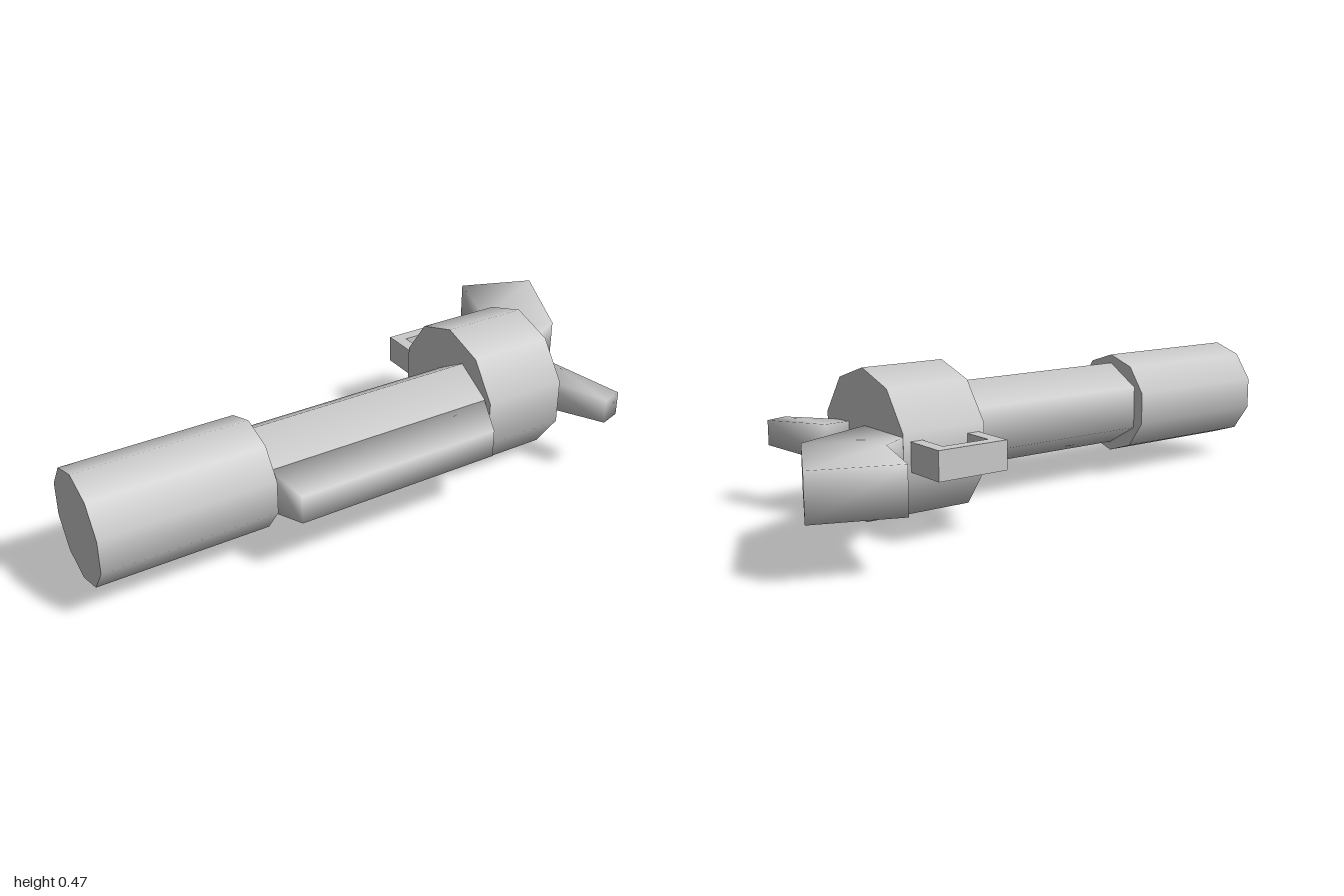
import * as THREE from 'three';

const material = new THREE.MeshStandardMaterial({ color: 0xcccccc });
const MID_Y = 0.24;

export function createModel() {
  const model = new THREE.Group();
  const add = (name, geometry) => {
    const mesh = new THREE.Mesh(geometry, material);
    mesh.name = name;
    model.add(mesh);
    return mesh;
  };

  // Prism lying along x, with a corner pointing straight up
  function prism(name, sides, radius, x0, x1, y, z) {
    const g = new THREE.CylinderGeometry(radius, radius, x1 - x0, sides, 1, false, Math.PI / 2);
    g.rotateZ(Math.PI / 2);
    add(name, g).position.set((x0 + x1) / 2, y, z);
  }

  // Smooth four-sided loft; each section is [xA, zA, xB, zB, halfHeight]
  function loft(name, sections) {
    const pos = [];
    const index = [];
    for (const [xa, za, xb, zb, h] of sections) {
      pos.push(xa, h, za, xb, h, zb, xb, -h, zb, xa, -h, za);
    }
    for (let s = 0; s < sections.length - 1; s++) {
      for (let k = 0; k < 4; k++) {
        const a = s * 4 + k, b = s * 4 + (k + 1) % 4;
        index.push(a, b, b + 4, a, b + 4, a + 4);
      }
    }
    const e = (sections.length - 1) * 4;
    index.push(0, 2, 1, 0, 3, 2, e, e + 1, e + 2, e, e + 2, e + 3);
    const g = new THREE.BufferGeometry();
    g.setAttribute('position', new THREE.Float32BufferAttribute(pos, 3));
    g.setIndex(index);
    g.computeVertexNormals();
    add(name, g).position.y = MID_Y;
  }

  // Main tubes
  prism('muzzle', 10, 0.172, -1, -0.465, 0.2425, 0.1625);
  prism('barrel', 6, 0.1425, -0.465, 0.295, 0.2425, 0.1625);
  prism('drum', 10, 0.237, 0.295, 0.575, 0.237, 0.09);

  // Tapered foregrip on the barrel's flat side
  loft('foregrip', [
    [0.295, 0.285, -0.465, 0.285, 0.0715],
    [0.235, 0.415, -0.435, 0.415, 0.045],
  ]);

  // Bent stock
  loft('stock', [
    [0.575, -0.135, 0.575, 0.085, 0.06],
    [0.67, -0.205, 0.845, -0.04, 0.064],
    [0.755, -0.455, 1, -0.36, 0.07],
  ]);

  // Slanted rear handle
  loft('rearHandle', [
    [0.655, 0.18, 0.541, 0.18, 0.058],
    [0.725, 0.43, 0.655, 0.452, 0.04],
  ]);

  // Square loop on the drum's back
  const loop = new THREE.Shape([[0.315, 0.13], [0.55, 0.13], [0.55, 0.28], [0.315, 0.28]]
    .map(([x, y]) => new THREE.Vector2(x, y)));
  loop.holes.push(new THREE.Path([[0.355, 0.134], [0.355, 0.24], [0.51, 0.24], [0.51, 0.134]]
    .map(([x, y]) => new THREE.Vector2(x, y))));
  const loopGeometry = new THREE.ExtrudeGeometry(loop, { depth: 0.09, bevelEnabled: false });
  loopGeometry.translate(0, 0, -0.045).rotateX(-Math.PI / 2);
  add('loop', loopGeometry).position.y = MID_Y;

  return model;
}
